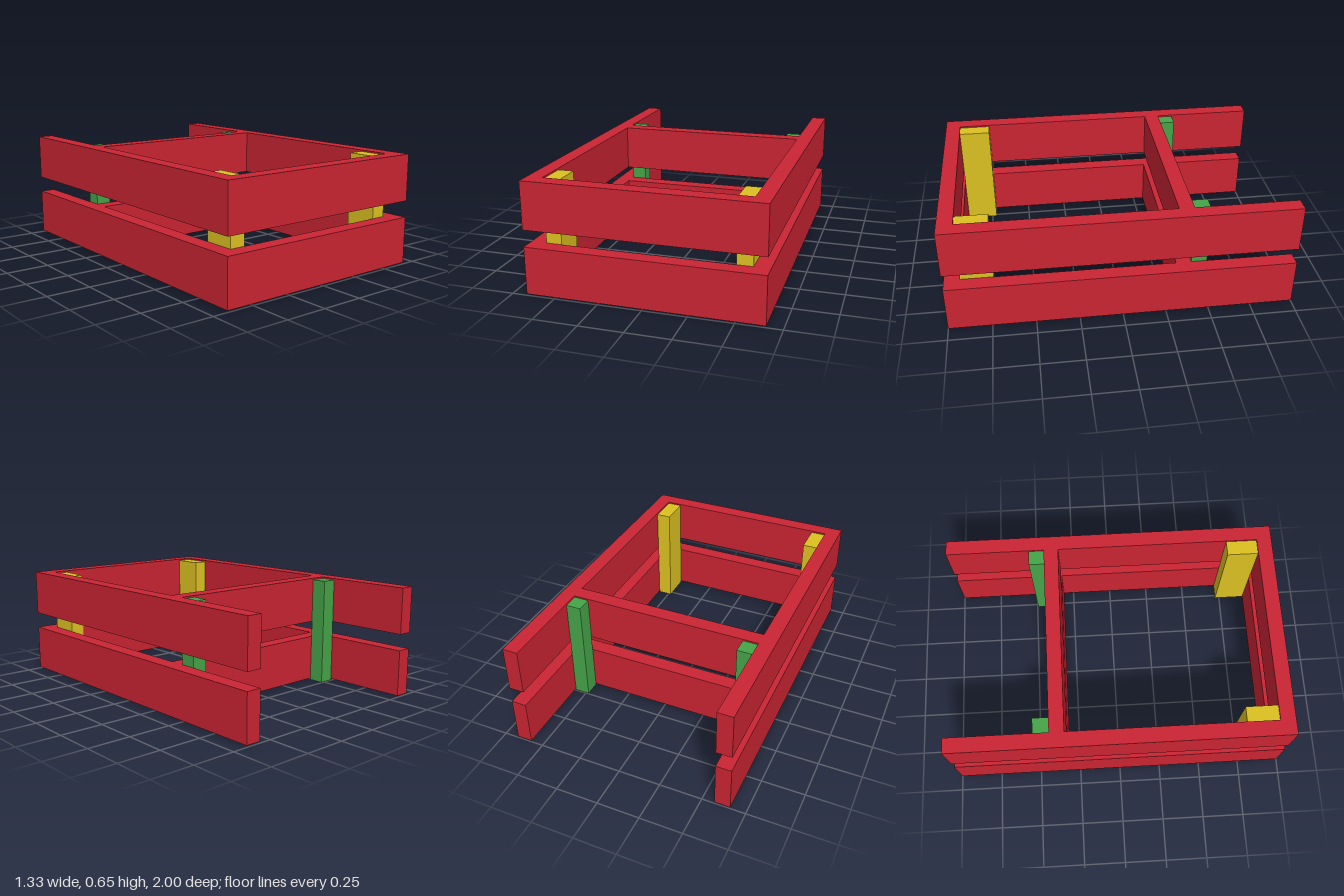
import * as THREE from 'three';

export function createModel() {
  const group = new THREE.Group();
  const red = new THREE.MeshStandardMaterial({ color: 0xc92432 });
  const yellow = new THREE.MeshStandardMaterial({ color: 0xdbc021 });
  const green = new THREE.MeshStandardMaterial({ color: 0x46a348 });

  // Box given by its extents along each axis
  function block(name, material, [x0, x1], [y0, y1], [z0, z1]) {
    const mesh = new THREE.Mesh(new THREE.BoxGeometry(x1 - x0, y1 - y0, z1 - z0), material);
    mesh.position.set((x0 + x1) / 2, (y0 + y1) / 2, (z0 + z1) / 2);
    mesh.name = name;
    group.add(mesh);
  }

  const outer = 0.663, inner = 0.573, postInner = 0.483;
  const tiers = { lower: [0.009, 0.282], upper: [0.379, 0.652] };

  // Two tiers of boards: front, cross board and long side rails
  for (const [tier, y] of Object.entries(tiers)) {
    block(tier + 'FrontBoard', red, [-inner, inner], y, [0.91, 1]);
    block(tier + 'CrossBoard', red, [-inner, inner], y, [-0.402, -0.314]);
    block(tier + 'LeftRail', red, [inner, outer], y, [-1, 1]);
    block(tier + 'RightRail', red, [-outer, -inner], y, [-1, 1]);
  }

  // Corner posts joining the tiers
  for (const [side, x] of [['left', [postInner, inner]], ['right', [-inner, -postInner]]]) {
    block(side + 'FrontPost', yellow, x, [0, 0.643], [0.723, 0.91]);
    block(side + 'BackPost', green, x, [0, 0.643], [-0.495, -0.402]);
  }
  return group;
}
